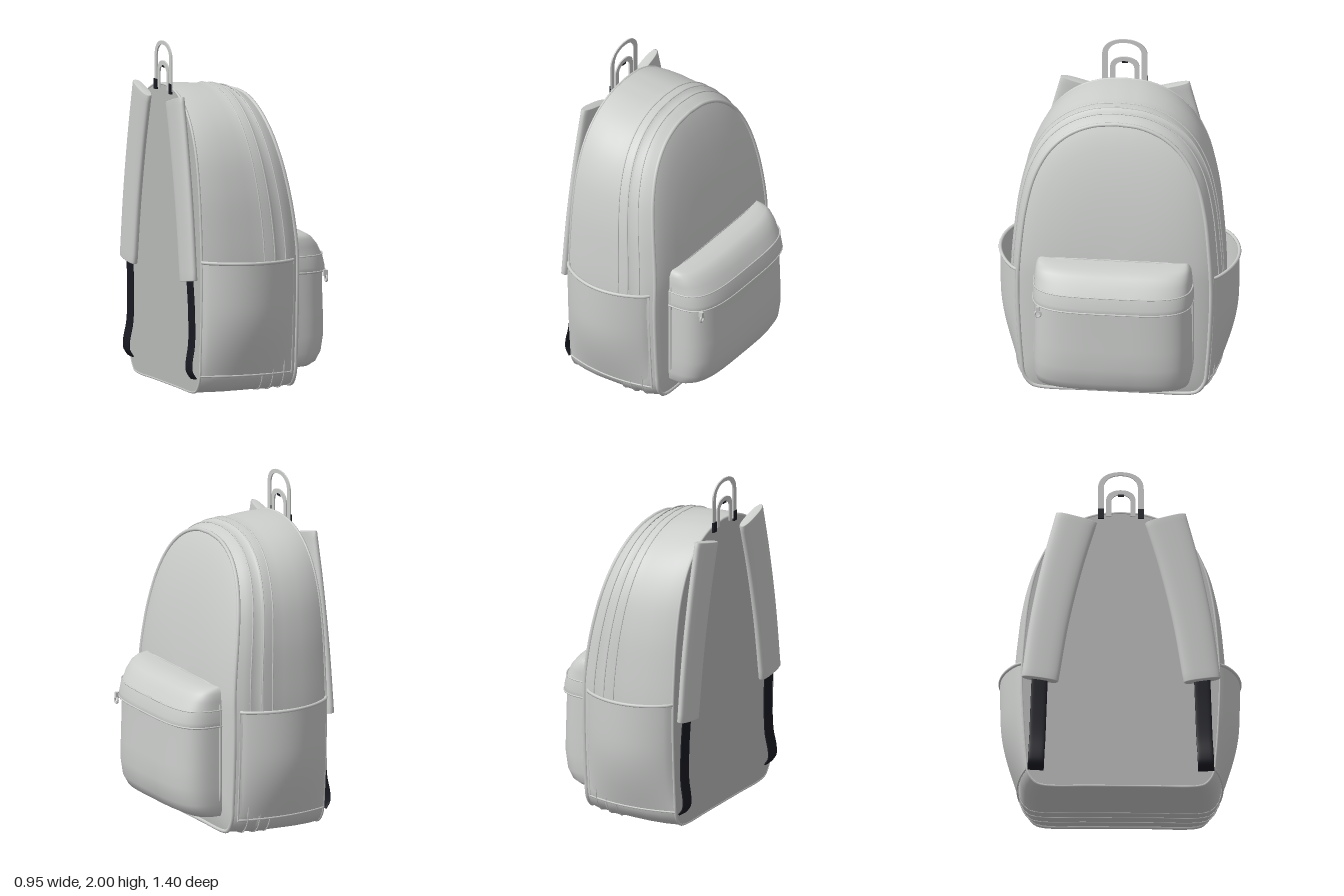
import * as THREE from 'three';

const V = (x, y, z) => new THREE.Vector3(x, y, z);
const spow = (a, p) => Math.sign(a) * Math.pow(Math.abs(a), p);

// Skin rows of points; rows may be closed loops
function loft(rows, closed) {
  const n = rows[0].length, pos = [], idx = [];
  rows.forEach(r => r.forEach(p => pos.push(p.x, p.y, p.z)));
  for (let j = 0; j < rows.length - 1; j++) {
    for (let i = 0; i < (closed ? n : n - 1); i++) {
      const k = (i + 1) % n, a = j * n + i, b = j * n + k, c = a + n, d = b + n;
      idx.push(a, b, c, b, d, c);
    }
  }
  const g = new THREE.BufferGeometry();
  g.setAttribute('position', new THREE.Float32BufferAttribute(pos, 3));
  g.setIndex(idx);
  g.computeVertexNormals();
  return g;
}

function tube(points, r, closed = false) {
  const curve = new THREE.CatmullRomCurve3(points, closed);
  return new THREE.TubeGeometry(curve, points.length * 2, r, 8, closed);
}

// Arched bag outline in (z, y), mirrored into a loop
const half = new THREE.CatmullRomCurve3([
  [0, 1.75], [.15, 1.735], [.3, 1.675], [.42, 1.57], [.51, 1.41], [.565, 1.2], [.595, .95], [.61, .7],
  [.6, .4], [.585, .2], [.57, .09], [.52, .025], [.45, .01], [.2, .01], [0, .01]
].map(([z, y]) => V(0, y, z))).getSpacedPoints(60);
const outline = [...half, ...half.slice(1, -1).reverse().map(p => V(0, p.y, -p.z))];

const rimX = y => .19 - .15 * Math.pow(Math.max(0, (y - .8) / .9), 1.5);
// Loop at depth t (0 back, 1 front rim), narrowed by dz and lowered by dy
function ring(t, dz, dy) {
  return outline.map(p => {
    const y = p.y > .88 ? .88 + (p.y - .88) * (1 - dy / .87) : .88 + (p.y - .88) * (1 - dy * .3 / .87);
    return V(-.41 + (rimX(y) + .41) * t, y, p.z * (1 - dz / .61));
  });
}

export function createModel() {
  const group = new THREE.Group();
  const mat = (name, color) => new THREE.MeshStandardMaterial({ name, color, side: THREE.DoubleSide });
  const fabric = mat('light grey fabric', 0xcccecc);
  const backing = mat('grey back fabric', 0xb8bab8);
  const black = mat('black webbing', 0x191a22);
  const add = (name, geo, m = fabric) => {
    const mesh = new THREE.Mesh(geo, m);
    mesh.name = name;
    group.add(mesh);
    return mesh;
  };

  // Main shell with a slightly raised zip cover
  add('bodySides', loft([
    [0, .04, 0], [.04, .03, 0], [.15, .012, 0], [.3, 0, .004], [.5, 0, .012], [.61, .002, .018],
    [.615, -.003, .012], [.72, -.001, .016], [.76, 0, .018], [.765, .012, .03], [.85, .018, .034],
    [.855, .012, .028], [.93, .026, .045], [1, .05, .06]
  ].map(a => ring(...a)), true));

  // Flat back
  const back = ring(0, .04, 0);
  add('backPanel', loft([back.map(() => V(-.41, .85, 0)), back], true), backing);

  // Bulging front panel and its piping
  const rim = ring(1, .05, .06);
  add('frontPanel', loft([1, .97, .93, .85, .7, .5, .25, 0].map(s => rim.map(p => {
    const y = .85 + (p.y - .85) * s;
    return V(rimX(y) + .05 * (1 - s ** 5), y, p.z * s);
  })), true));
  add('frontPiping', tube(rim, .012, true));
  add('backPiping', tube(ring(.01, .04, .004), .008, true));
  [[.63, -.003, .012], [.74, -.001, .016], [.86, .012, .028]].forEach(a =>
    add('zipSeam', tube(ring(...a), .004, true)));

  // Front pocket, stacked rows of [y, front x, half width]
  const row = ([y, fx, w]) => Array.from({ length: 49 }, (_, i) => {
    const a = (i / 48 - .5) * Math.PI;
    return V(.2 + (fx - .2) * spow(Math.max(0, Math.cos(a)), .54), y, w * spow(Math.sin(a), .54));
  });
  add('frontPocket', loft([
    [.125, .205, .42], [.122, .37, .425], [.145, .415, .443], [.2, .448, .455], [.3, .466, .458],
    [.42, .464, .456], [.55, .46, .454], [.7, .458, .45]
  ].map(row), false));
  add('frontPocketFlap', loft([
    [.67, .45, .44], [.664, .468, .458], [.672, .474, .464], [.7, .472, .464], [.765, .456, .461], [.77, .45, .456],
    [.82, .424, .455], [.865, .385, .449], [.887, .345, .438], [.897, .28, .425], [.898, .205, .42]
  ].map(row), false));
  add('frontPocketSeam', tube(row([.768, .456, .461]), .004));
  add('frontPocketHem', tube(row([.672, .473, .463]), .005));
  add('frontPocketPiping', tube(Array.from({ length: 72 }, (_, i) => {
    const a = i / 36 * Math.PI;
    return V(.228, .51 + .387 * spow(Math.sin(a), .28), .457 * spow(Math.cos(a), .28));
  }), .009, true));

  // Zip pull under the flap
  add('zipPullRing', new THREE.TorusGeometry(.017, .006, 8, 16).rotateY(Math.PI / 2).translate(.425, .63, .42));
  add('zipPullSlider', new THREE.BoxGeometry(.025, .035, .018).translate(.42, .66, .42));

  // Haul loops above the back
  const arch = (w, y0, y1, b, bt) => {
    const s = new THREE.Shape();
    const leg = (o, r, top) => {
      o.lineTo(-r, top - r * .8);
      o.bezierCurveTo(-r, top - r * .25, -r * .55, top, 0, top);
      o.bezierCurveTo(r * .55, top, r, top - r * .25, r, top - r * .8);
    };
    s.moveTo(-w, y0);
    leg(s, w, y1);
    s.lineTo(w, y0);
    s.lineTo(w - b, y0);
    const r = w - b, top = y1 - bt;
    s.lineTo(r, top - r * .8);
    s.bezierCurveTo(r, top - r * .25, r * .55, top, 0, top);
    s.bezierCurveTo(-r * .55, top, -r, top - r * .25, -r, top - r * .8);
    s.lineTo(-r, y0);
    return new THREE.ExtrudeGeometry(s, { depth: .008, bevelEnabled: false, curveSegments: 16 })
      .rotateY(Math.PI / 2).translate(-.42, 0, 0);
  };
  add('outerHandleLoop', arch(.132, 1.72, 2, .034, .022));
  add('innerHandleLoop', arch(.085, 1.72, 1.885, .03, .03));
  add('handleTab', new THREE.BoxGeometry(.009, .012, .035).translate(-.416, 1.852, 0), black);

  for (const side of [1, -1]) {
    // Open side pocket following the body
    const pocketRow = v => Array.from({ length: 33 }, (_, i) => {
      const u = i / 32, y = .11 + .675 * v;
      const hw = .572 + .036 * Math.sin(Math.min(1, y / .7) * Math.PI / 2) - .045 * (2 * u - 1) ** 2;
      const puff = .075 * Math.pow(Math.max(0, Math.sin(Math.PI * u ** .88)), .65) * Math.sin(Math.min(1, v / .62) * Math.PI / 2);
      return V(-.405 + .565 * u, y - .012 * u * v, side * (hw + .008 + puff));
    });
    const rows = Array.from({ length: 15 }, (_, j) => pocketRow(j / 14));
    if (side < 0) rows.reverse();
    add('sidePocket', loft(rows, false));
    add('sidePocketHem', tube(pocketRow(1), .01));
    add('sidePocketSeam', tube(pocketRow(.01), .006));
    add('sidePocketFrontSeam', tube([0, .25, .5, .75, 1].map(v => pocketRow(v)[32]), .006));

    // Flattened sweep along a path, square (p small) to oval (p near 1) section
    const strap = (path, w0, w1, thick, p) => {
      const curve = new THREE.CatmullRomCurve3(path.map(([x, y, z]) => V(x, y, z * side)));
      const N = 24, section = (t, k) => {
        const c = curve.getPoint(t), d = curve.getTangent(t);
        const nrm = V(0, -d.z, d.y).normalize(), w = (w0 + (w1 - w0) * t) * k;
        const flat = V(1, 0, 0).cross(nrm).cross(nrm).normalize().negate();
        const out = V().crossVectors(nrm, d).normalize();
        if (flat.dot(out) < 0) flat.negate();
        return Array.from({ length: 28 }, (_, i) => {
          const a = i / 14 * Math.PI;
          return c.clone().addScaledVector(nrm, w * spow(Math.cos(a), p))
            .addScaledVector(out, thick * k * spow(Math.sin(a), p));
        });
      };
      const all = [section(0, 0), section(0, .93)];
      for (let i = 0; i <= N; i++) all.push(section(.004 + .992 * i / N, 1));
      all.push(section(1, .93), section(1, 0));
      return loft(all, true);
    };
    add('shoulderStrap', strap([[-.447, 1.695, .255], [-.447, 1.4, .335], [-.447, 1.05, .41], [-.447, .665, .468]], .122, .108, .028, .75));
    add('adjusterStrap', strap([[-.44, .69, .468], [-.432, .5, .475], [-.434, .3, .482], [-.452, .19, .488], [-.45, .14, .49], [-.425, .1, .492]], .047, .047, .006, .5), black);

    // Small dark anchors at the handle base
    add('handleAnchor', new THREE.BoxGeometry(.012, .06, .034).translate(-.419, 1.735, side * .115), black);
  }
  return group;
}
